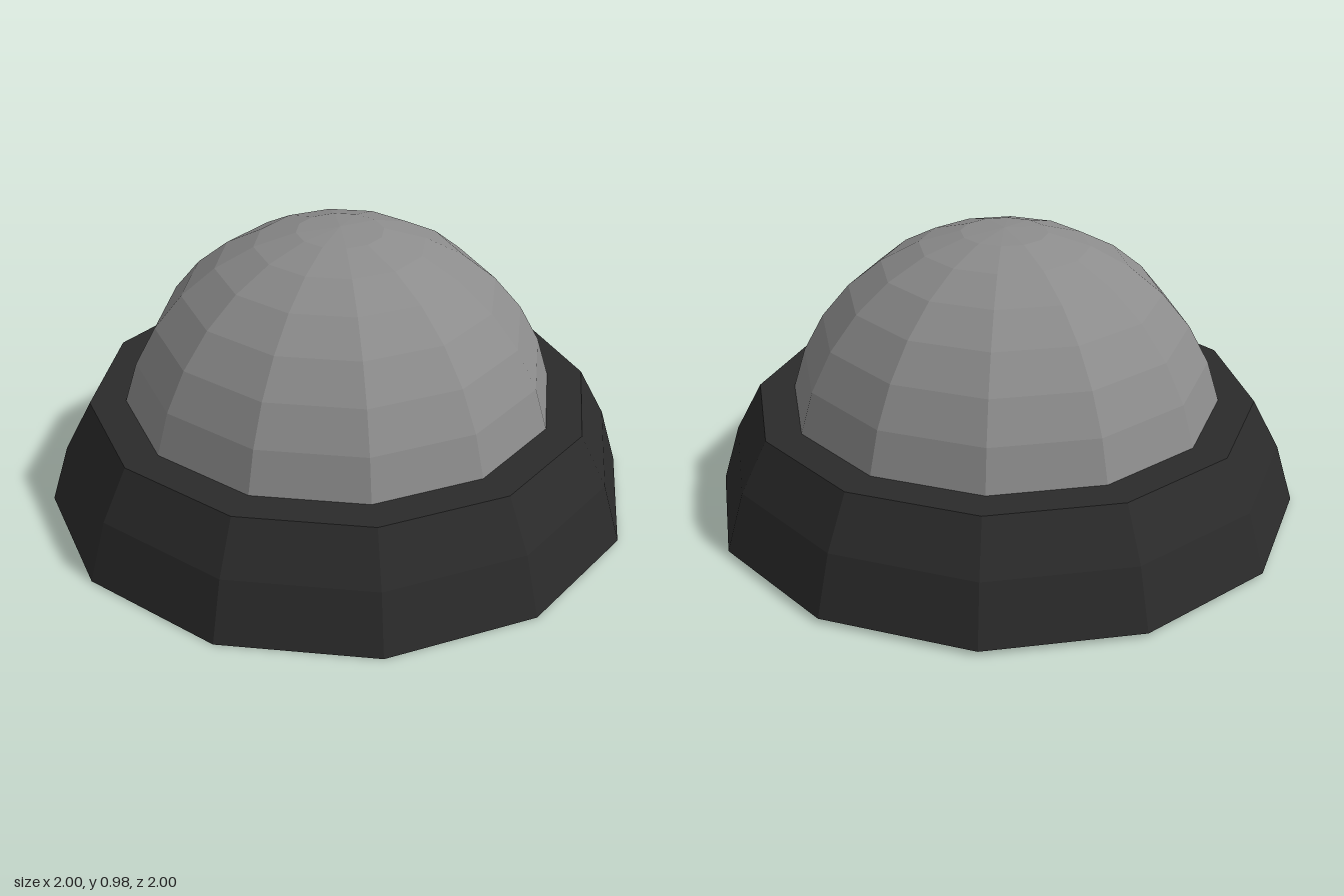
import * as THREE from 'three';

const SIDES = 12;
const TILT = 0.0075; // the whole piece leans very slightly

export function createModel() {
  const model = new THREE.Group();
  const body = new THREE.Group();
  body.name = 'tiltedBody';
  body.rotation.x = TILT;
  body.position.y = TILT;
  model.add(body);

  const add = (name, geometry, color) => {
    const material = new THREE.MeshStandardMaterial({ color, flatShading: true });
    const mesh = new THREE.Mesh(geometry, material);
    mesh.name = name;
    body.add(mesh);
    return mesh;
  };

  // Dark faceted base: closed bottom, two sloping bands and a flat top
  const profile = [[0, 0], [1, 0], [0.94, 0.2], [0.85, 0.37], [0, 0.37]]
    .map(([r, y]) => new THREE.Vector2(r, y));
  add('base', new THREE.LatheGeometry(profile, SIDES), 0x2b2b2b);

  // Grey faceted dome, its lower edge sunk into the base
  const dome = add('dome',
    new THREE.SphereGeometry(0.743, SIDES, 8, Math.PI / 2, Math.PI * 2, 0, Math.PI / 2), 0x8c8c8c);
  dome.position.y = 0.225;

  return model;
}
